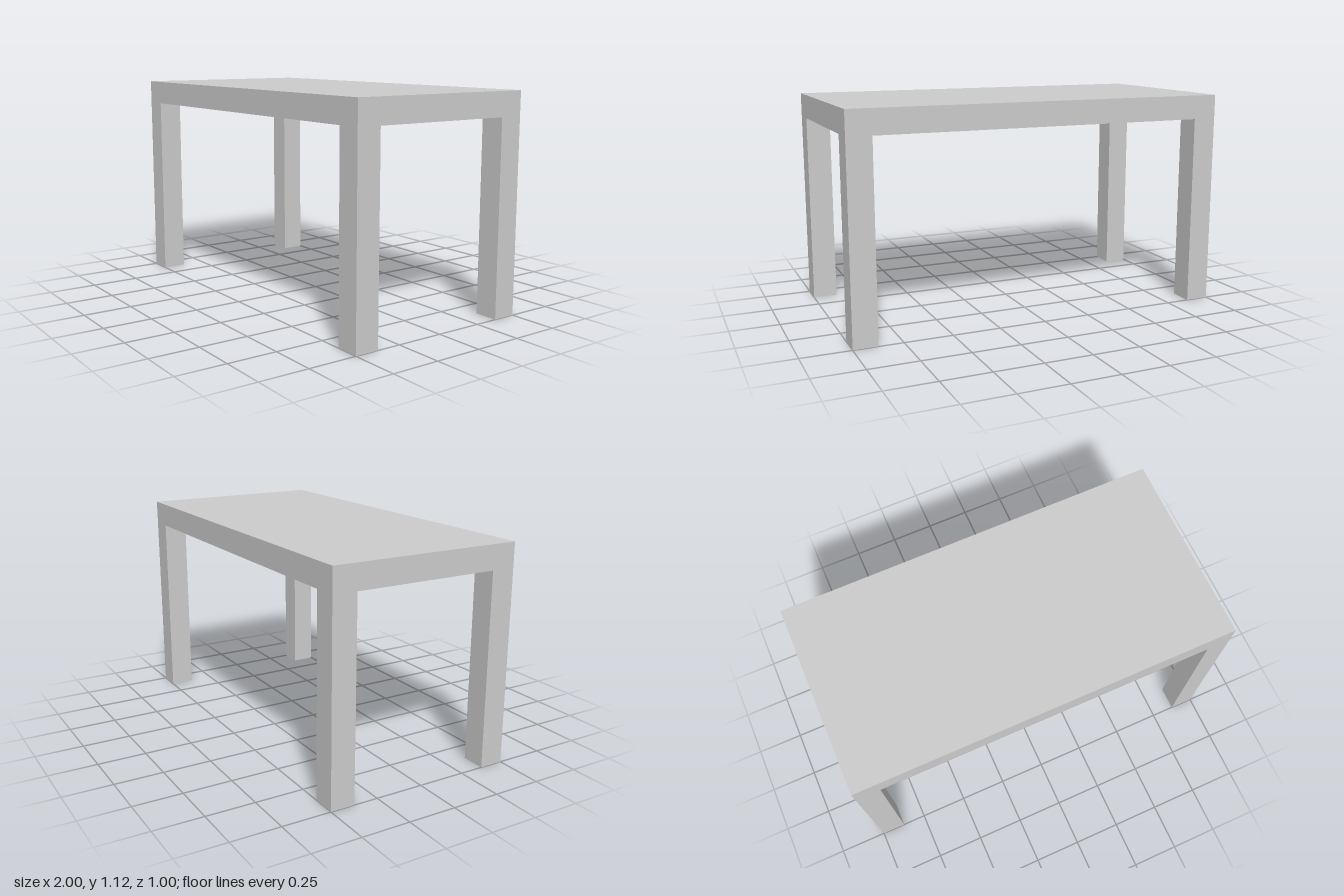
import * as THREE from 'three';

const WIDTH = 2, DEPTH = 1, LEG_HEIGHT = 1, THICKNESS = 0.125;

export function createModel() {
  const table = new THREE.Group();
  table.name = 'table';
  const material = new THREE.MeshStandardMaterial({ color: 0xcccccc, flatShading: true });

  // Solid slab top
  const top = new THREE.Mesh(new THREE.BoxGeometry(WIDTH, THICKNESS, DEPTH), material);
  top.name = 'tableTop';
  top.position.y = LEG_HEIGHT + THICKNESS / 2;
  table.add(top);

  // Four square legs, flush with the corners of the top
  const legGeometry = new THREE.BoxGeometry(THICKNESS, LEG_HEIGHT, THICKNESS);
  for (const [endZ, sz] of [['front', 1], ['back', -1]]) {
    for (const [sideX, sx] of [['Left', 1], ['Right', -1]]) {
      const leg = new THREE.Mesh(legGeometry, material);
      leg.name = `${endZ}${sideX}Leg`;
      leg.position.set(sx * (WIDTH - THICKNESS) / 2, LEG_HEIGHT / 2, sz * (DEPTH - THICKNESS) / 2);
      table.add(leg);
    }
  }

  return table;
}
